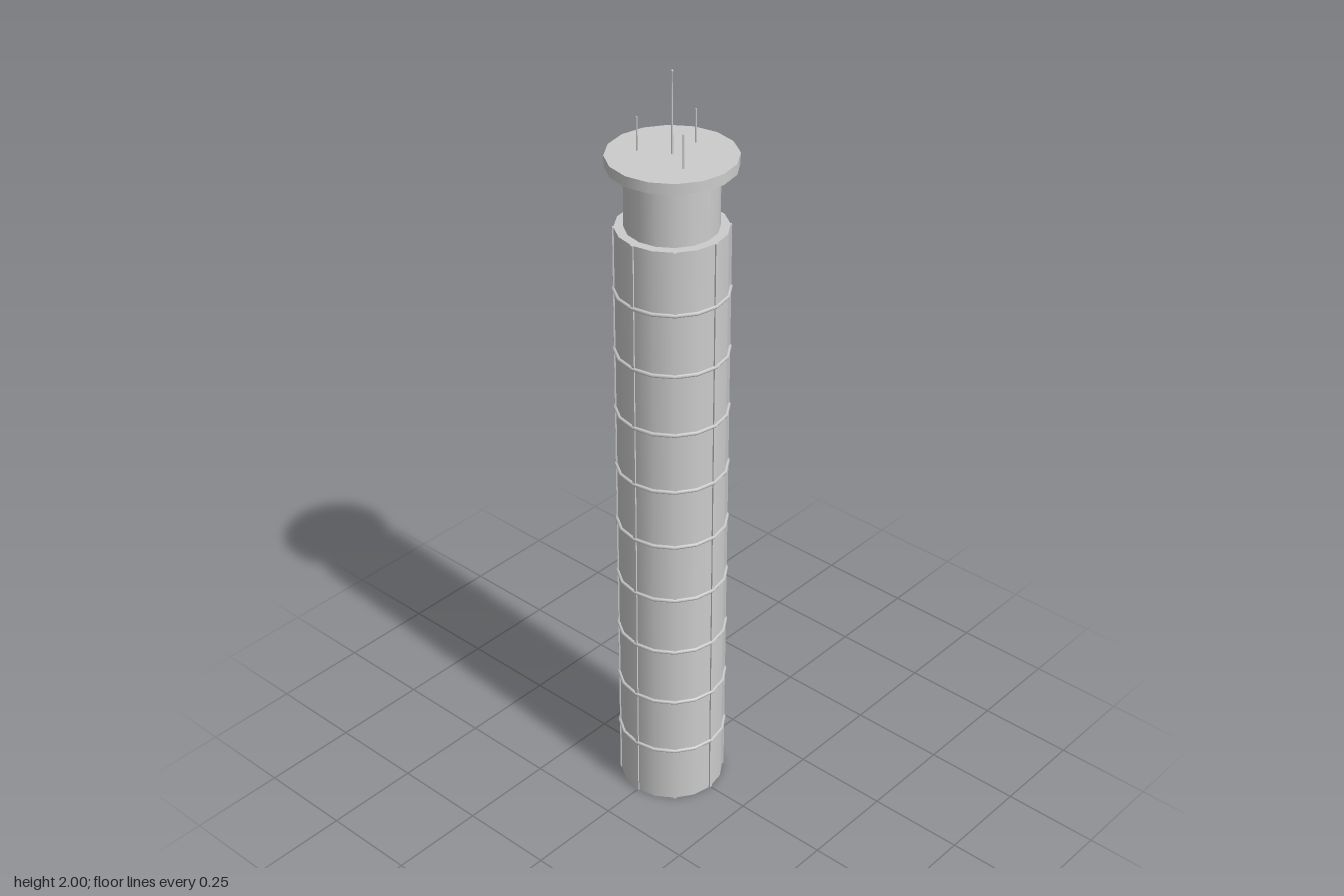
import * as THREE from 'three';

export function createModel() {
  const tower = new THREE.Group();
  tower.name = 'tower';
  const concrete = new THREE.MeshStandardMaterial({ color: 0xcccccc });
  concrete.name = 'light grey concrete';

  const add = (name, geometry, x = 0, y = 0, z = 0) => {
    const mesh = new THREE.Mesh(geometry, concrete);
    mesh.name = name;
    mesh.position.set(x, y, z);
    tower.add(mesh);
    return mesh;
  };
  // Upright cylinder standing on the given height
  const column = (name, rTop, rBottom, bottom, top, sides, x = 0, z = 0) =>
    add(name, new THREE.CylinderGeometry(rTop, rBottom, top - bottom, sides), x, (top + bottom) / 2, z);

  const R = 0.135, H = 1.617, FLOORS = 10;

  // Shaft, recessed neck and overhanging roof disc
  column('shaft', R, R, 0, H, 16);
  column('neck', 0.112, 0.112, H, 1.77, 16);
  column('roofDisc', 0.155, 0.155, 1.77, 1.797, 16);

  // Eight vertical ribs
  for (let i = 0; i < 8; i++) {
    const a = (i * Math.PI) / 4;
    const rib = add('rib', new THREE.BoxGeometry(0.008, H, 0.008), Math.sin(a) * (R - 0.001), H / 2, Math.cos(a) * (R - 0.001));
    rib.rotation.y = a;
  }

  // Ring bands at each floor
  const ring = new THREE.TorusGeometry(R + 0.002, 0.005, 6, 16);
  ring.rotateX(Math.PI / 2);
  for (let i = 1; i < FLOORS; i++) add('ringBand', ring, 0, (i * H) / FLOORS, 0);

  // Central mast with a small tip, and three short aerials around it
  column('mast', 0.0012, 0.003, 1.797, 1.997, 8);
  add('mastTip', new THREE.SphereGeometry(0.003, 8, 6), 0, 1.997, 0);
  for (let i = 0; i < 3; i++) {
    const a = (i * Math.PI * 2) / 3;
    column('aerial', 0.0022, 0.0022, 1.797, 1.88, 6, Math.cos(a) * 0.081, Math.sin(a) * 0.081);
  }
  return tower;
}
